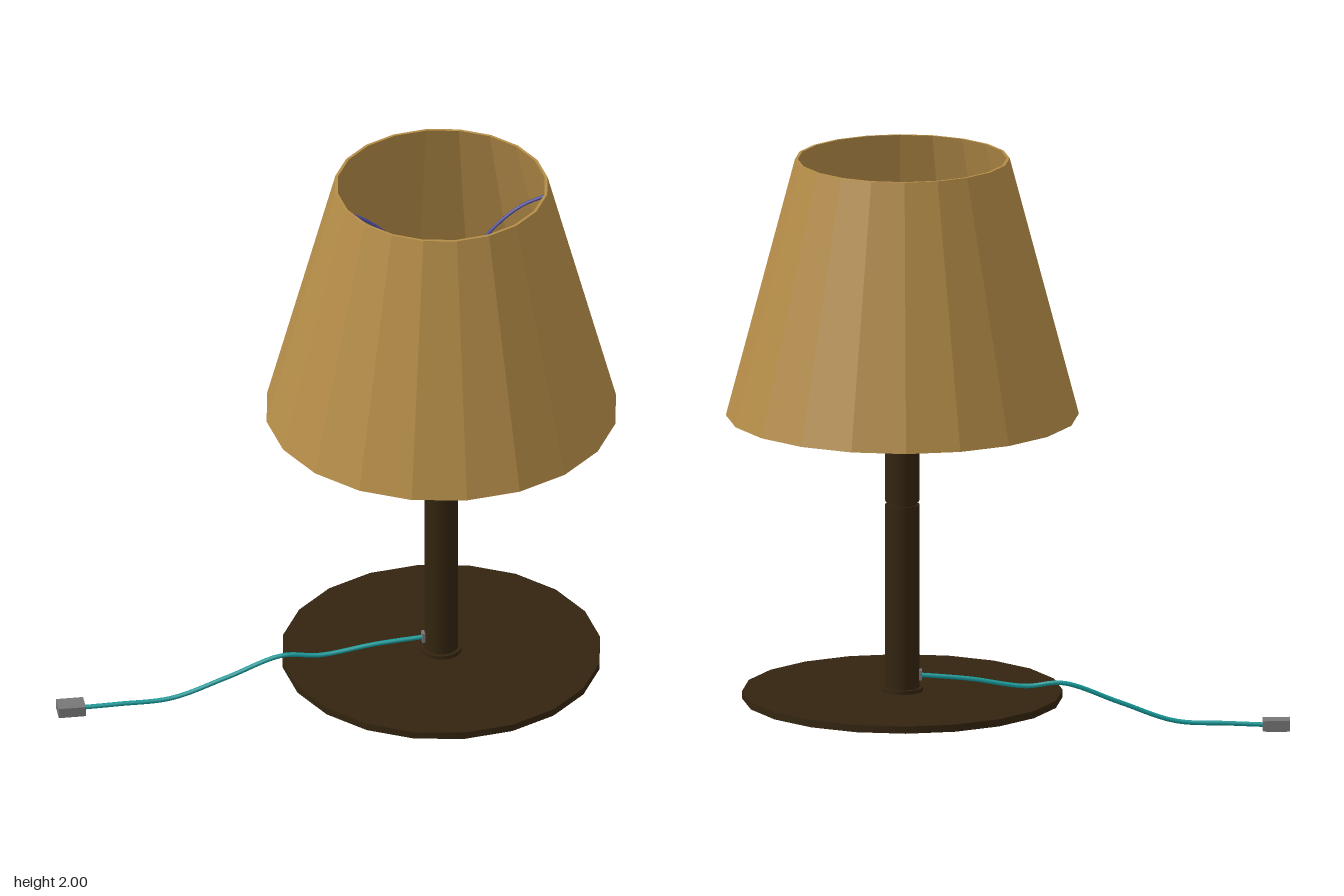
import * as THREE from 'three';

const material = (color, extra = {}) => new THREE.MeshStandardMaterial({ color, ...extra });
const v = (x, y, z = 0) => new THREE.Vector3(x, y, z);

export function createModel() {
  const model = new THREE.Group();
  const lamp = new THREE.Group();
  lamp.name = 'lamp';
  lamp.position.x = 0.357;
  model.add(lamp);

  const fabric = material(0xb58d48, { flatShading: true });
  const darkWood = material(0x33240f);
  const wire = material(0x4a4a9c);
  const teal = material(0x159a9a);
  const grey = material(0x777777);
  const glass = material(0xc4bc78);

  const add = (parent, name, geometry, mat, x = 0, y = 0, z = 0) => {
    const mesh = new THREE.Mesh(geometry, mat);
    mesh.name = name;
    mesh.position.set(x, y, z);
    parent.add(mesh);
    return mesh;
  };
  // Upright cylinder given by its bottom and top heights
  const disc = (name, radius, y0, y1, sides, mat) =>
    add(lamp, name, new THREE.CylinderGeometry(radius, radius, y1 - y0, sides), mat, 0, (y0 + y1) / 2);
  const tube = (parent, name, points, radius, mat, steps) =>
    add(parent, name, new THREE.TubeGeometry(new THREE.CatmullRomCurve3(points), steps, radius, 8), mat);

  // Base and stem, with a narrow groove between the two stem sections
  disc('base', 0.545, 0.12, 0.145, 20, darkWood);
  disc('stemCollar', 0.07, 0.145, 0.158, 20, darkWood);
  disc('lowerStem', 0.058, 0.158, 0.795, 20, darkWood);
  disc('stemGroove', 0.051, 0.795, 0.807, 20, darkWood);
  disc('upperStem', 0.058, 0.807, 1.48, 20, darkWood);

  // Thin-walled faceted shade, open at both ends
  const wall = [[0.6, 1.108], [0.365, 2], [0.355, 2], [0.588, 1.108], [0.6, 1.108]]
    .map(([r, y]) => new THREE.Vector2(r, y));
  add(lamp, 'shade', new THREE.LatheGeometry(wall, 20), fabric);

  // Bulb
  const bulb = add(lamp, 'bulb', new THREE.SphereGeometry(0.05, 16, 12), glass, 0, 1.54);
  bulb.scale.y = 1.4;

  // Wire ring around the bulb and the two arms that carry the shade
  const ring = add(lamp, 'shadeRing', new THREE.TorusGeometry(0.063, 0.006, 8, 24), wire, 0, 1.55);
  ring.rotation.x = Math.PI / 2;
  for (const s of [-1, 1]) {
    tube(lamp, s < 0 ? 'rightShadeArm' : 'leftShadeArm',
      [v(s * 0.37, 1.93), v(s * 0.27, 1.89), v(s * 0.16, 1.79), v(s * 0.09, 1.66), v(s * 0.063, 1.55)],
      0.006, wire, 20);
  }

  // Power cord, its outlet on the stem, and the plug
  add(model, 'cordOutlet', new THREE.BoxGeometry(0.02, 0.035, 0.025), grey, 0.3, 0.2);
  tube(model, 'cord', [
    v(0.31, 0.2), v(0.13, 0.185), v(-0.06, 0.158), v(-0.19, 0.168),
    v(-0.38, 0.1, 0.004), v(-0.57, 0.034, 0.003), v(-0.75, 0.025), v(-0.88, 0.02, -0.004),
  ], 0.008, teal, 64);
  add(model, 'plug', new THREE.BoxGeometry(0.093, 0.036, 0.066), grey, -0.914, 0.022, -0.005);
  add(model, 'plugFoot', new THREE.BoxGeometry(0.07, 0.008, 0.04), grey, -0.914, 0.004, -0.005);

  return model;
}
